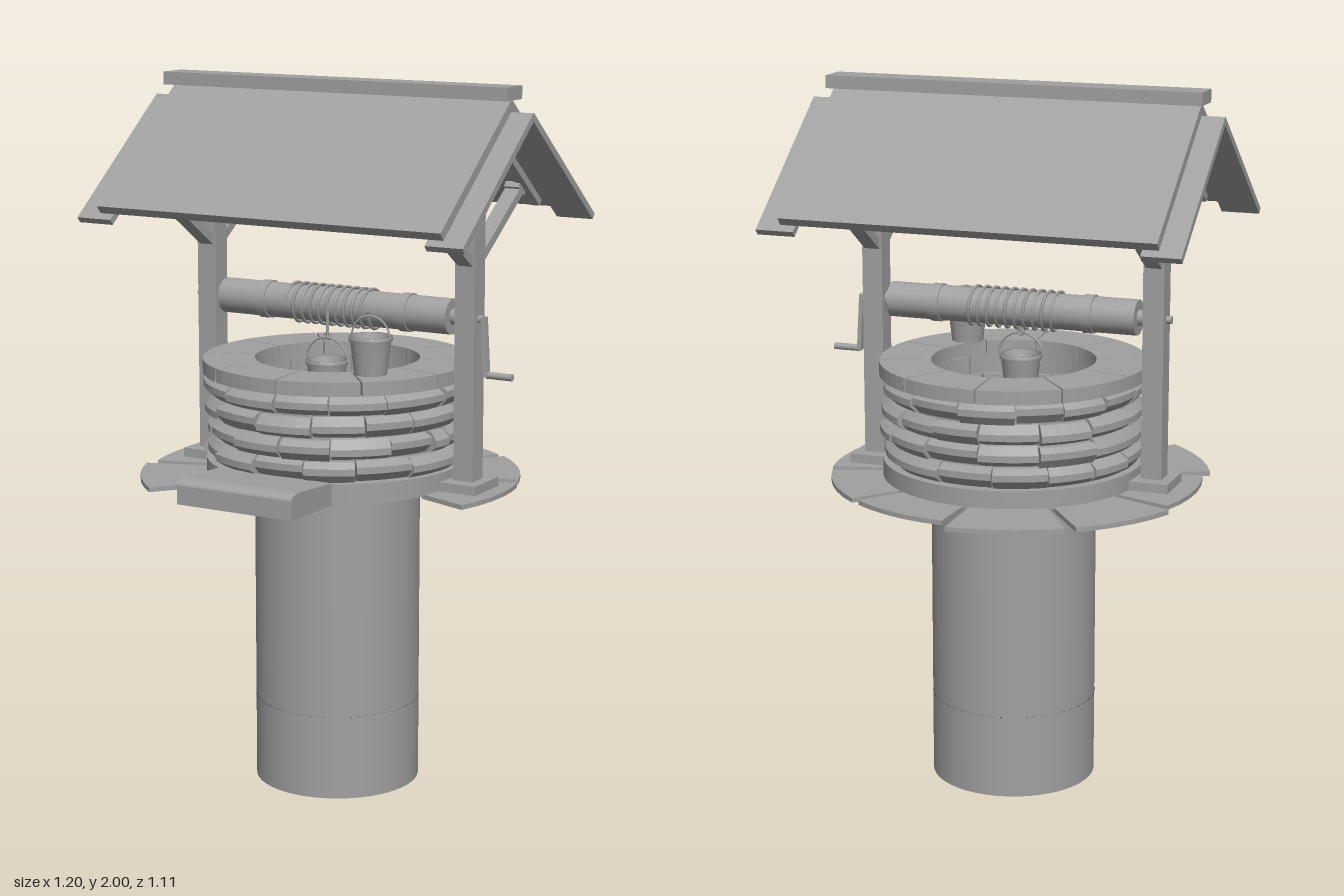
import * as THREE from 'three';

function material(name, color) {
  const m = new THREE.MeshStandardMaterial({ color, side: THREE.DoubleSide });
  m.name = name;
  return m;
}
const grey = material('plain grey', 0xa0a0a0);
const black = material('dark water', 0x050505);
const CZ = 0.007; // depth of the well's axis
const rad = THREE.MathUtils.degToRad;

function add(parent, name, geometry, x = 0, y = 0, z = 0, mat = grey) {
  const m = new THREE.Mesh(geometry, mat);
  m.name = name;
  m.position.set(x, y, z);
  parent.add(m);
  return m;
}
const box = (w, h, d) => new THREE.BoxGeometry(w, h, d);

// Box bent into part of a ring, angles in degrees from +x towards +z.
// The outer face swells out by `bulge` between its top and bottom edges.
function sector(r0, r1, a0, a1, y0, y1, bulge = 0, tilt = 0) {
  const n = Math.max(3, Math.ceil((a1 - a0) / 7));
  const g = new THREE.BoxGeometry(1, 1, 1, n, bulge ? 3 : 1, 1).toNonIndexed();
  const p = g.attributes.position;
  for (let i = 0; i < p.count; i++) {
    const a = rad(a1 - (p.getX(i) + 0.5) * (a1 - a0));
    const v = p.getY(i);
    const edge = Math.abs(v) > 0.4;
    const r = p.getZ(i) < 0 ? r0 : r1 - (edge ? bulge : 0);
    const y = y0 + (v + 0.5) * (y1 - y0) + (edge ? 0 : tilt);
    p.setXYZ(i, r * Math.cos(a), y, r * Math.sin(a));
  }
  g.computeVertexNormals();
  return g;
}

// Solid of revolution about the y axis; doubled points keep edges sharp
const lathe = (profile, n) => new THREE.LatheGeometry(profile.map(q => new THREE.Vector2(...q)), n);
const ring = (r0, r1, y0, y1) =>
  lathe([[r0, y0], [r1, y0], [r1, y0], [r1, y1], [r1, y1], [r0, y1], [r0, y1], [r0, y0]], 48);

function makeBucket(name, x, y, z, handleRadius) {
  const b = new THREE.Group();
  b.name = name;
  b.position.set(x, y, z);
  add(b, 'bucketBody', lathe([[0, 0], [0.045, 0], [0.045, 0], [0.056, 0.092], [0.06, 0.092],
    [0.06, 0.105], [0.053, 0.105], [0.041, 0.012], [0, 0.012]], 20));
  add(b, 'bucketHandle', new THREE.TorusGeometry(handleRadius, 0.003, 6, 24, Math.PI), 0, 0.1, 0);
  return b;
}

function makeMasonry() {
  const g = new THREE.Group();
  g.name = 'masonry';
  g.position.z = CZ;
  let seed = 7;
  const rnd = () => (seed = (seed * 16807) % 2147483647) / 2147483647;

  // Shaft and the dark water in it, whose rim just shows through the wall
  add(g, 'shaft', new THREE.CylinderGeometry(0.234, 0.234, 0.89, 48, 1, true), 0, 0.445, 0);
  add(g, 'water', new THREE.CircleGeometry(0.2345, 64).rotateX(-Math.PI / 2), 0, 0.24, 0, black);

  // Footing ring and core of the wall
  add(g, 'baseRing', ring(0.234, 0.37, 0.89, 0.945));
  add(g, 'wallCore', ring(0.255, 0.338, 0.94, 1.19));

  // Four courses of staggered rough bricks
  const courses = 4, h = 0.06, count = 15, step = 360 / count;
  for (let c = 0; c < courses; c++) {
    let a = c * step * 0.5 + rnd() * 4;
    const end = a + 360;
    for (let i = 0; i < count; i++) {
      const next = i === count - 1 ? end : a + step + (rnd() - 0.5) * 6;
      const y = 0.945 + c * h + (rnd() - 0.5) * 0.006;
      add(g, 'brick', sector(0.238 + rnd() * 0.008, 0.362 + rnd() * 0.016, a + 0.4, next - 0.4,
        y + 0.002, y + h - 0.002, 0.016 + rnd() * 0.01, (rnd() - 0.5) * 0.014));
      a = next;
    }
  }

  // Capstones
  for (let i = 0; i < 10; i++)
    add(g, 'capstone', sector(0.232, 0.378, i * 36 + 14.4, i * 36 + 49.6, 1.186, 1.225));

  // Uneven paving slabs
  const slabs = [[-124, -91, 0.56], [-88, -54, 0.512], [-158, -127, 0.562], [-51, -18, 0.517],
    [-14, 20, 0.52], [128.5, 160, 0.557], [164, 199, 0.535]];
  for (const [a0, a1, r] of slabs) add(g, 'pavingSlab', sector(0.36, r, a0, a1, 0.882, 0.895));

  // Worn doorstep, profile drawn across its depth
  const s = new THREE.Shape();
  s.moveTo(-0.34, 0.89);
  s.lineTo(-0.34, 0.952);
  s.quadraticCurveTo(-0.44, 0.957, -0.5, 0.962);
  s.quadraticCurveTo(-0.545, 0.962, -0.547, 0.945);
  s.lineTo(-0.547, 0.893);
  const stepGeo = new THREE.ExtrudeGeometry(s, { depth: 0.36, bevelEnabled: false, curveSegments: 8 });
  stepGeo.rotateY(Math.PI / 2);
  add(g, 'doorstep', stepGeo, -0.18, 0, 0);
  return g;
}

function makeFrame() {
  const g = new THREE.Group();
  g.name = 'frame';
  g.position.z = CZ;
  for (const x of [-0.415, 0.415]) {
    add(g, 'postFooting', box(0.12, 0.028, 0.14), x, 0.907, 0);
    add(g, 'post', box(0.06, 1.01, 0.06), x, 1.415, 0);
    // Diagonal braces with an end block
    for (const s of [-1, 1]) {
      const brace = add(g, 'brace', box(0.045, 0.025, 0.31), x, 1.61, s * 0.145);
      brace.rotation.x = -s * 0.6;
      const block = add(g, 'braceBlock', box(0.045, 0.018, 0.045), x, 1.695, s * 0.265);
      block.rotation.x = s * 0.665;
    }
  }
  add(g, 'ridgeBeam', box(1.02, 0.04, 0.04), 0, 1.9, 0);
  return g;
}

function makeRoof() {
  const g = new THREE.Group();
  g.name = 'roof';
  g.position.z = CZ;
  add(g, 'ridgeCap', box(1.087, 0.036, 0.088), -0.002, 1.982, 0);
  for (const turn of [0, Math.PI]) {
    const side = new THREE.Group();
    side.name = 'roofSlope';
    side.rotation.order = 'YXZ';
    side.rotation.set(0.665, turn, 0);
    side.position.y = 1.967;
    add(side, 'roofPanel', box(1.066, 0.026, 0.498), 0, -0.013, 0.253);
    for (const s of [-1, 1]) add(side, 'gableBoard', box(0.11, 0.019, 0.502), s * 0.543, -0.0355, 0.274);
    for (const x of [-0.44, -0.22, 0, 0.22, 0.44])
      add(side, 'rafter', box(0.03, 0.02, 0.44), x, -0.036, 0.25);
    g.add(side);
  }
  return g;
}

function makeWindlass() {
  const g = new THREE.Group();
  g.name = 'windlass';
  g.position.set(0, 1.37, CZ);
  const rod = (r, l, n = 16) => new THREE.CylinderGeometry(r, r, l, n).rotateZ(Math.PI / 2);
  add(g, 'roller', rod(0.05, 0.73, 20));
  add(g, 'axle', rod(0.011, 0.92));
  for (const s of [-1, 1]) {
    add(g, 'rollerBand', rod(0.054, 0.03, 20), s * 0.225, 0, 0);
    add(g, 'axleCollar', rod(0.022, 0.02), s * 0.372, 0, 0);
  }

  // Rope wound around the roller, then hanging down to the bucket
  const turns = 10, pts = [];
  for (let i = 0; i <= turns * 12; i++) {
    const a = i / 12 * Math.PI * 2;
    pts.push(new THREE.Vector3(-0.14 + 0.27 * i / (turns * 12), Math.sin(a) * 0.055, Math.cos(a) * 0.055));
  }
  add(g, 'ropeCoil', new THREE.TubeGeometry(new THREE.CatmullRomCurve3(pts), 240, 0.0045, 6));
  add(g, 'hangingRope', new THREE.CylinderGeometry(0.0045, 0.0045, 0.09, 8), 0, -0.035, 0.055);
  add(g, 'ropeRing', new THREE.TorusGeometry(0.01, 0.003, 6, 12), 0, -0.079, 0.055);

  // Crank
  const arm = add(g, 'crankArm', box(0.012, 0.165, 0.022), 0.464, -0.075, 0);
  arm.rotation.z = 0.06;
  add(g, 'crankGrip', rod(0.01, 0.078, 12), 0.508, -0.152, 0);
  return g;
}

export function createModel() {
  const model = new THREE.Group();
  model.name = 'well';
  model.add(makeMasonry(), makeFrame(), makeRoof(), makeWindlass());
  model.add(makeBucket('ledgeBucket', 0.206, 1.225, 0.182, 0.059));
  model.add(makeBucket('hangingBucket', 0, 1.122, 0.065, 0.066));
  return model;
}
